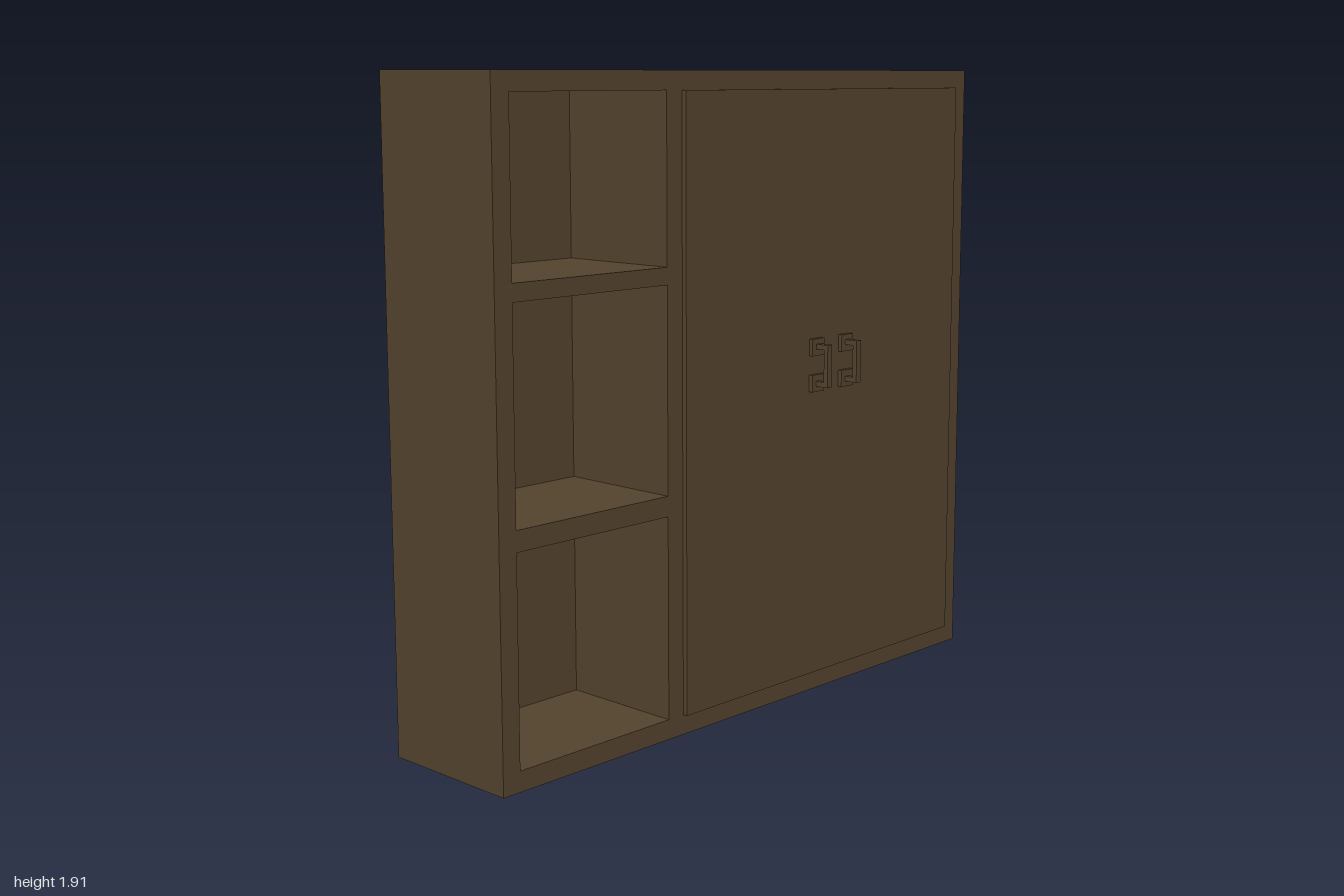
import * as THREE from 'three';

const wood = new THREE.MeshStandardMaterial({ color: 0x54432e });
wood.name = 'darkWood';

const BACK = -0.263, FRONT = 0.19, HEIGHT = 1.91, WALL = 0.06;

// Box given by its lower and upper corners
function block(parent, name, [x0, y0, z0], [x1, y1, z1]) {
  const mesh = new THREE.Mesh(new THREE.BoxGeometry(x1 - x0, y1 - y0, z1 - z0), wood);
  mesh.position.set((x0 + x1) / 2, (y0 + y1) / 2, (z0 + z1) / 2);
  mesh.name = name;
  parent.add(mesh);
}

function rectangle(Type, x0, y0, x1, y1) {
  return new Type([[x0, y0], [x1, y0], [x1, y1], [x0, y1]].map(p => new THREE.Vector2(...p)));
}

export function createModel() {
  const cabinet = new THREE.Group();
  cabinet.name = 'cabinet';

  // Carcass with three open compartments and the door opening
  const outline = rectangle(THREE.Shape, -1, 0, 1, HEIGHT);
  for (const [y0, y1] of [[0.06, 0.66], [0.72, 1.32], [1.37, 1.855]]) {
    outline.holes.push(rectangle(THREE.Path, -0.94, y0, -0.375, y1));
  }
  outline.holes.push(rectangle(THREE.Path, -0.315, 0.06, 0.935, 1.855));
  const carcass = new THREE.Mesh(
    new THREE.ExtrudeGeometry(outline, { depth: FRONT - BACK - WALL, bevelEnabled: false }), wood);
  carcass.position.z = BACK + WALL;
  carcass.name = 'carcass';
  cabinet.add(carcass);

  block(cabinet, 'backPanel', [-1, 0, BACK], [1, HEIGHT, BACK + WALL]);
  block(cabinet, 'doorPanel', [-0.315, 0.06, 0.15], [0.935, 1.855, 0.205]);

  // Pair of bar handles on square mounting plates
  for (const [name, x] of [['rightHandle', 0.245], ['leftHandle', 0.382]]) {
    const handle = new THREE.Group();
    handle.name = name;
    handle.position.set(x, 1.03, 0.205);
    for (const side of [-1, 1]) {
      const y = side * 0.055;
      block(handle, 'mountingPlate', [-0.027, y - 0.026, 0], [0.027, y + 0.026, 0.013]);
      const end = side * 0.057;
      block(handle, 'handlePost', [-0.01, end - 0.008, 0.013], [0.01, end + 0.008, 0.043]);
    }
    block(handle, 'handleBar', [-0.01, -0.065, 0.043], [0.01, 0.065, 0.058]);
    cabinet.add(handle);
  }

  return cabinet;
}
